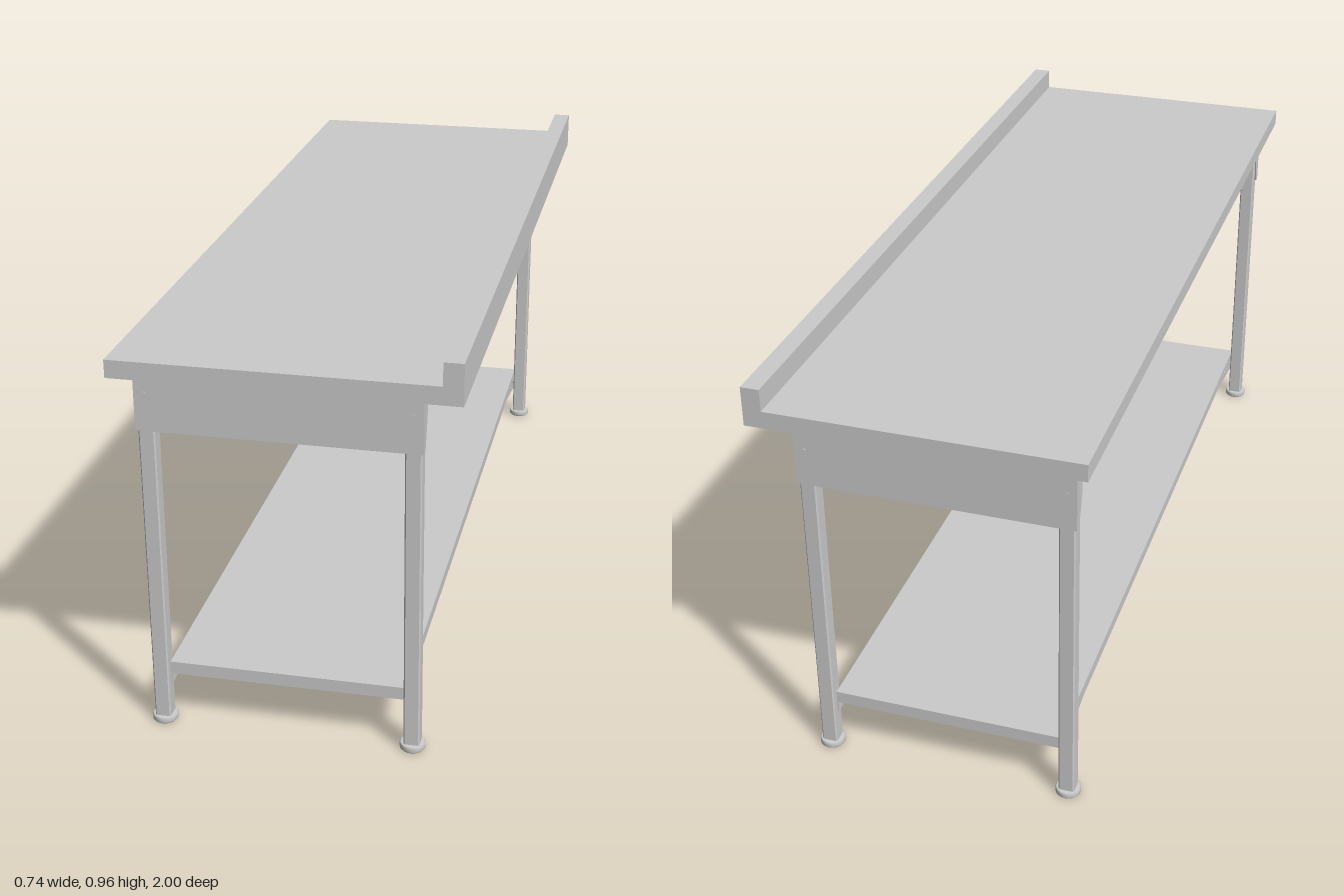
import * as THREE from 'three';

const mat = new THREE.MeshStandardMaterial({ color: 0xcccccc, flatShading: true, side: THREE.DoubleSide });
const smooth = new THREE.MeshStandardMaterial({ color: 0xcccccc, side: THREE.DoubleSide });

function add(parent, name, geometry, x = 0, y = 0, z = 0, material = mat) {
  const mesh = new THREE.Mesh(geometry, material);
  mesh.name = name;
  mesh.position.set(x, y, z);
  parent.add(mesh);
  return mesh;
}

// Box given by its limits on each axis
function span(parent, name, [x0, x1], [y0, y1], [z0, z1]) {
  return add(parent, name, new THREE.BoxGeometry(x1 - x0, y1 - y0, z1 - z0),
    (x0 + x1) / 2, (y0 + y1) / 2, (z0 + z1) / 2);
}

// Thin upright plate: outline in (z, y), thickness along x and centred on x
function sidePlate(parent, name, points, x, t) {
  const shape = new THREE.Shape(points.map(([z, y]) => new THREE.Vector2(-z, y)));
  const geo = new THREE.ExtrudeGeometry(shape, { depth: t, bevelEnabled: false });
  geo.rotateY(Math.PI / 2);
  return add(parent, name, geo, x - t / 2, 0, 0);
}

// Square tube with slightly cut corners
function legGeometry(w, h) {
  const a = w / 2, c = 0.003;
  const shape = new THREE.Shape([[-a + c, -a], [a - c, -a], [a, -a + c], [a, a - c],
    [a - c, a], [-a + c, a], [-a, a - c], [-a, -a + c]].map(p => new THREE.Vector2(...p)));
  return new THREE.ExtrudeGeometry(shape, { depth: h, bevelEnabled: false }).rotateX(-Math.PI / 2);
}

export function createModel() {
  const table = new THREE.Group();
  table.name = 'workTable';

  // Worktop and raised edge as one stepped section along z
  const section = new THREE.Shape([[-0.368, 0.869], [0.368, 0.869], [0.368, 0.96],
    [0.326, 0.96], [0.326, 0.909], [-0.368, 0.909]].map(p => new THREE.Vector2(...p)));
  add(table, 'worktop', new THREE.ExtrudeGeometry(section, { depth: 2, bevelEnabled: false }), 0, 0, -1);

  // The frame sits slightly towards the back under the worktop
  const frame = new THREE.Group();
  frame.name = 'frame';
  frame.position.z = -0.019;
  table.add(frame);

  const legX = [-0.314, 0.255], legZ = 0.924, legW = 0.036;
  const legGeo = legGeometry(legW, 0.857);
  const footGeo = new THREE.LatheGeometry([[0, 0.007], [0.016, 0.007], [0.018, 0],
    [0.026, 0], [0.0285, 0.003], [0.0285, 0.013], [0.026, 0.016], [0, 0.016]]
    .map(p => new THREE.Vector2(...p)), 32);
  const boltGeo = new THREE.CylinderGeometry(0.005, 0.005, 0.002, 6).rotateX(Math.PI / 2);
  const sideBoltGeo = boltGeo.clone().rotateY(Math.PI / 2);

  for (const s of [1, -1]) {
    // Legs, feet and the bracket cheeks that wrap around each leg
    legX.forEach((x, i) => {
      const out = i ? 1 : -1;
      add(frame, 'leg', legGeo, x, 0.012, s * legZ);
      add(frame, 'foot', footGeo, x, 0, s * legZ, mat.flatShading ? smooth : mat);
      sidePlate(frame, 'apronCheek', [[s * 0.944, 0.723], [s * 0.944, 0.869],
        [s * 0.908, 0.869], [s * 0.908, 0.80], [s * 0.93, 0.723]], x + out * 0.0205, 0.004);
      add(frame, 'apronBolt', boltGeo, x, 0.808, s * 0.9465);
    });
    // Apron panel across the end
    span(frame, 'apron', [-0.3365, 0.2775], [0.723, 0.869],
      s > 0 ? [0.942, 0.946] : [-0.946, -0.942]);
  }

  // Lower shelf: an open tray with turned-down edges
  const shelf = new THREE.Group();
  shelf.name = 'lowerShelf';
  frame.add(shelf);
  const sx = [-0.296, 0.237], end = 0.924;
  span(shelf, 'shelfPanel', sx, [0.145, 0.149], [-end, end]);
  for (const s of [1, -1]) {
    span(shelf, 'shelfEndLip', sx, [0.119, 0.147],
      s > 0 ? [end - 0.003, end] : [-end, -end + 0.003]);
  }
  sx.forEach((x, i) => {
    const out = i ? 1 : -1;
    // Long lip, deepened towards the legs
    sidePlate(shelf, 'shelfSideLip', [[-end, 0.147], [end, 0.147], [end, 0.093], [0.906, 0.093],
      [0.739, 0.121], [-0.739, 0.121], [-0.906, 0.093], [-end, 0.093]], x - out * 0.0015, 0.003);
    for (const s of [1, -1]) {
      for (const z of [0.885, 0.82]) add(shelf, 'shelfBolt', sideBoltGeo, x + out * 0.001, 0.125, s * z);
    }
  });

  return table;
}
